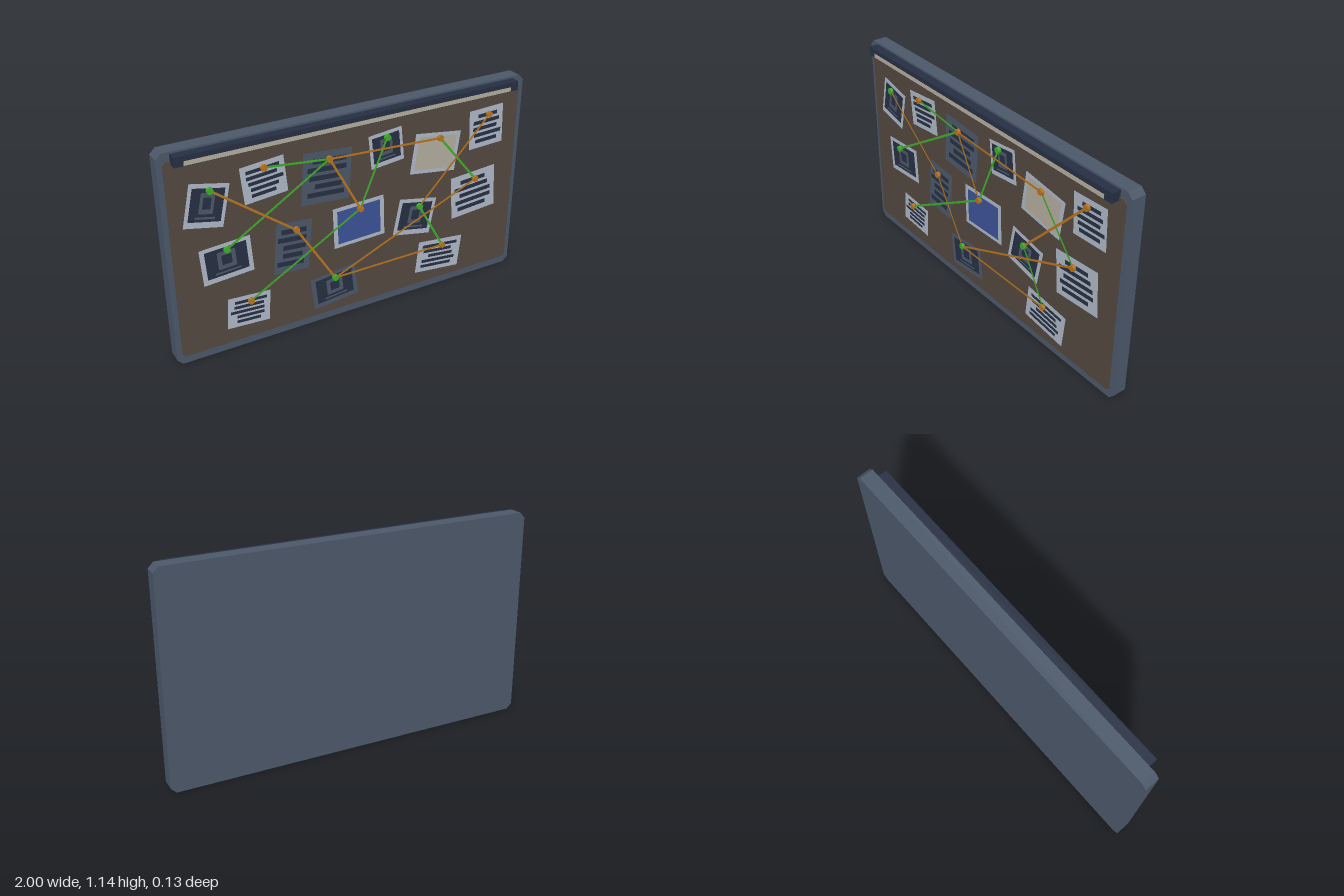
import * as THREE from 'three';

const mat = (name, color, extra = {}) => new THREE.MeshStandardMaterial({ name, color, ...extra });

// Rectangle centred on the origin with cut corners
function cutRect(w, h, c) {
  const x = w / 2, y = h / 2;
  return new THREE.Shape([
    [-x + c, -y], [x - c, -y], [x, -y + c], [x, y - c],
    [x - c, y], [-x + c, y], [-x, y - c], [-x, -y + c],
  ].map(([a, b]) => new THREE.Vector2(a, b)));
}

export function createModel() {
  const slate = mat('slate', 0x4b5769);
  const dark = mat('dark navy', 0x262f42);
  const cork = mat('cork brown', 0x52483f);
  const paper = mat('pale paper', 0xadb7c6);
  const cream = mat('cream', 0xb3ac9e);
  const blue = mat('blue', 0x3c5298);
  const green = mat('green', 0x3fae2a, { side: THREE.DoubleSide });
  const orange = mat('orange', 0xb8741c, { side: THREE.DoubleSide });

  const model = new THREE.Group();
  model.name = 'pinBoard';
  const add = (parent, name, geometry, material, x = 0, y = 0, z = 0) => {
    const m = new THREE.Mesh(geometry, material);
    m.name = name;
    m.position.set(x, y, z);
    parent.add(m);
    return m;
  };
  const slab = (name, w, h, c, z0, z1, material) => add(model, name,
    new THREE.ExtrudeGeometry(cutRect(w, h, c), { depth: z1 - z0, bevelEnabled: false }),
    material, 0, 0.57, z0);

  // Backing frame, cork surface and top rail
  slab('frame', 2, 1.14, 0.028, -0.062, 0.015, slate);
  slab('corkSurface', 1.944, 1.054, 0.015, 0.015, 0.021, cork);
  add(model, 'topRail', new THREE.BoxGeometry(1.866, 0.05, 0.048), dark, -0.002, 1.105, 0.039);
  add(model, 'railStrip', new THREE.BoxGeometry(1.775, 0.022, 0.002), cream, -0.002, 1.093, 0.0635);

  // Flat pieces on a sheet, stacked in thin layers
  const plate = (sheet, name, w, h, material, x, y, layer) =>
    add(sheet, name, new THREE.PlaneGeometry(w, h), material, x, y, layer * 0.0015);

  // Printed lines: ragged widths, left aligned with a small shift
  function addLines(sheet, w, h, seed) {
    const widths = [0.56, 0.76, 0.7, 0.8, 0.64];
    for (let i = 0; i < 5; i++) {
      const lw = w * widths[(i + seed) % 5];
      const shift = w * 0.04 * ((i * 2 + seed) % 3 - 1);
      plate(sheet, 'printedLine', lw, h * 0.095, dark, shift, h * (0.32 - i * 0.16), 1);
    }
  }

  // Picture: dark panel, outlined figure and a caption line
  function addPicture(sheet, w, h) {
    plate(sheet, 'picturePanel', w * 0.82, h * 0.76, dark, 0, h * 0.02, 1);
    const ring = cutRect(w * 0.36, h * 0.48, 0.004);
    ring.holes.push(cutRect(w * 0.2, h * 0.27, 0.003));
    add(sheet, 'pictureOutline', new THREE.ShapeGeometry(ring), slate, 0, h * 0.06, 0.003);
    plate(sheet, 'pictureCaption', w * 0.5, h * 0.05, slate, 0, -h * 0.27, 2);
  }

  // Sheets: x, y, width, height, tilt in degrees, kind, base
  const sheets = [
    [-0.789, 0.837, 0.2, 0.224, -12, 'picture', paper],
    [-0.497, 0.898, 0.226, 0.196, 5.5, 'lines', paper],
    [-0.168, 0.834, 0.265, 0.277, -4, 'lines', slate],
    [0.168, 0.909, 0.19, 0.185, 6, 'picture', paper],
    [0.463, 0.816, 0.277, 0.222, -8, cream, paper],
    [0.775, 0.893, 0.211, 0.22, 2.5, 'lines', paper],
    [-0.709, 0.519, 0.262, 0.2, 4, 'picture', paper],
    [-0.361, 0.495, 0.193, 0.28, -5, 'lines', slate],
    [0.013, 0.532, 0.294, 0.23, 2, blue, paper],
    [0.348, 0.471, 0.23, 0.207, -11, 'picture', paper],
    [0.717, 0.524, 0.28, 0.247, 4.5, 'lines', paper],
    [-0.612, 0.206, 0.227, 0.173, -3.5, 'lines', paper],
    [-0.131, 0.187, 0.257, 0.187, 6, 'picture', slate],
    [0.511, 0.193, 0.278, 0.187, -6, 'lines', paper],
  ];
  sheets.forEach(([x, y, w, h, tilt, kind, base], i) => {
    const sheet = new THREE.Group();
    sheet.name = 'sheet';
    sheet.position.set(x, y, 0.023);
    sheet.rotation.z = THREE.MathUtils.degToRad(tilt);
    model.add(sheet);
    plate(sheet, 'sheetBase', w, h, base, 0, 0, 0);
    if (kind === 'lines') addLines(sheet, w, h, i);
    else if (kind === 'picture') addPicture(sheet, w, h);
    else plate(sheet, 'notePanel', w * 0.84, h * 0.82, kind, 0, 0, 1);
  });

  // Pins: x, y, colour
  const pins = [
    [-0.775, 0.922, green], [-0.505, 0.973, orange], [-0.163, 0.936, orange],
    [0.158, 0.978, green], [0.473, 0.904, orange], [0.773, 0.973, orange],
    [-0.714, 0.594, green], [-0.35, 0.599, orange], [0.008, 0.62, orange],
    [0.361, 0.54, green], [0.709, 0.615, orange], [-0.607, 0.27, orange],
    [-0.139, 0.257, green], [0.516, 0.262, orange],
  ];
  const pinGeo = new THREE.CylinderGeometry(0.017, 0.017, 0.016, 8).rotateX(Math.PI / 2);
  for (const [x, y, m] of pins) add(model, 'pin', pinGeo, m, x, y, 0.047);

  // Strings between pins
  const strings = [
    [1, 2, green], [2, 6, green], [3, 8, green], [8, 11, green], [4, 10, green], [9, 13, green],
    [0, 7, orange], [7, 12, orange], [2, 4, orange], [2, 8, orange], [5, 9, orange],
    [10, 12, orange], [12, 13, orange],
  ];
  for (const [a, b, m] of strings) {
    const [ax, ay] = pins[a], [bx, by] = pins[b];
    const s = add(model, 'string', new THREE.PlaneGeometry(Math.hypot(bx - ax, by - ay), 0.012),
      m, (ax + bx) / 2, (ay + by) / 2, m === green ? 0.045 : 0.047);
    s.rotation.z = Math.atan2(by - ay, bx - ax);
  }
  return model;
}
